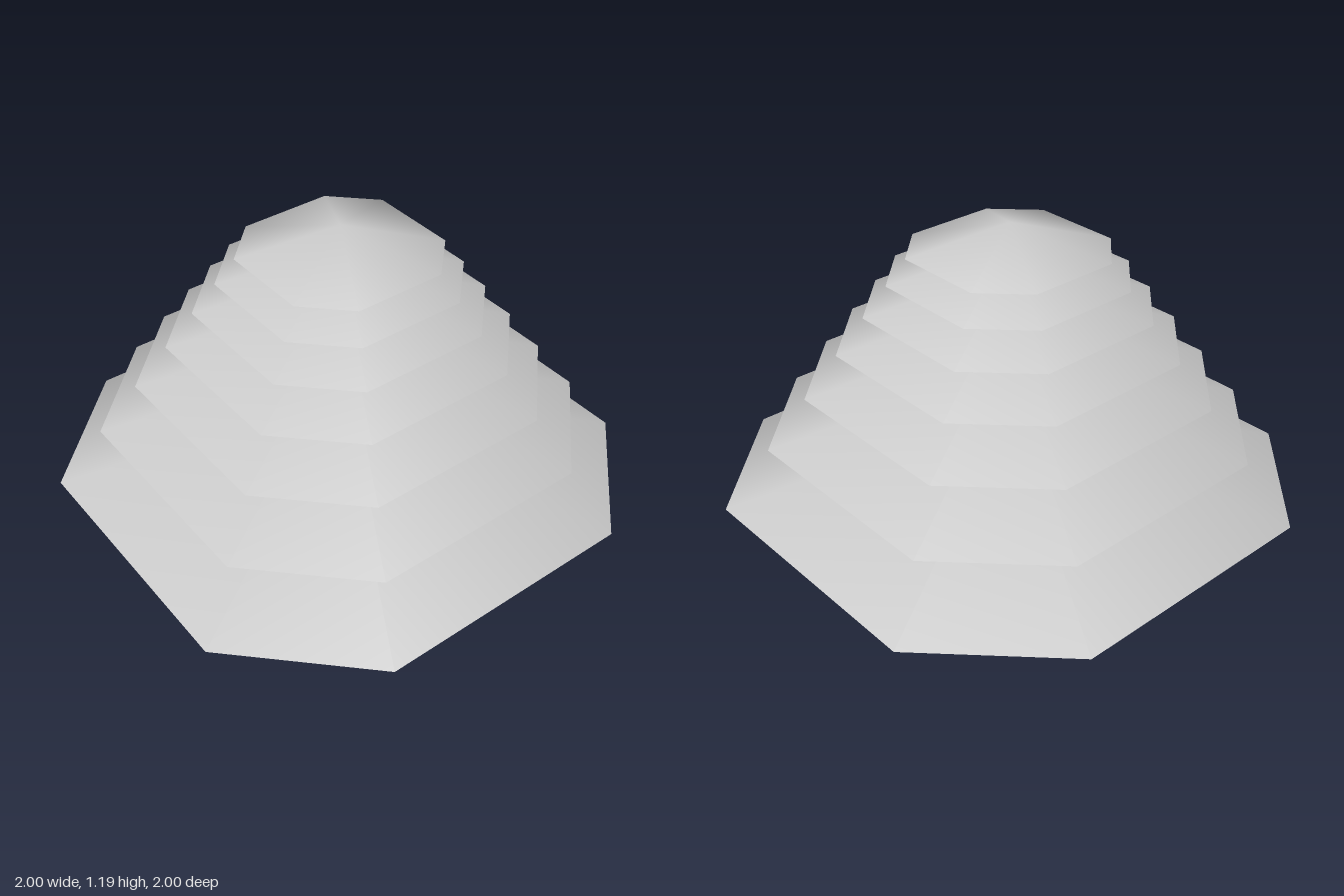
import * as THREE from 'three';

const TIERS = 7;
const RATIO = 0.837;    // each tier is this much smaller than the one below
const STEP = 0.26;      // rise from the first tier's base to the second's
const RIM_Y = 0.095;    // height of the widest edge
const APEX_Y = 0.404;   // height of the pointed top
const C = 0.535;        // half side of the square base and of the long rim edges

// One roof tier: square base, eight-sided rim, pointed top, shaded smooth
function tierGeometry() {
  const positions = [], index = [];
  const apex = 12;
  for (let k = 0; k < 4; k++) {
    // two rim corners and one base corner, turned a quarter for each side
    for (let [x, y, z] of [[1, RIM_Y, C], [1, RIM_Y, -C], [C, 0, -C]]) {
      for (let i = 0; i < k; i++) [x, z] = [z, -x];
      positions.push(x, y, z);
    }
    const a = 3 * k, b = a + 1, c = a + 2;
    const nextA = (a + 3) % 12, prevC = (a + 11) % 12;
    index.push(a, b, apex, b, nextA, apex);   // upper slopes
    index.push(b, a, prevC, b, prevC, c);     // underside of the long edge
    index.push(nextA, b, c);                  // underside of the corner
  }
  positions.push(0, APEX_Y, 0);
  index.push(11, 8, 5, 11, 5, 2);             // flat base

  const geometry = new THREE.BufferGeometry();
  geometry.setAttribute('position', new THREE.Float32BufferAttribute(positions, 3));
  geometry.setIndex(index);
  geometry.computeVertexNormals();
  return geometry;
}

export function createModel() {
  const group = new THREE.Group();
  group.name = 'tieredRoof';
  const material = new THREE.MeshStandardMaterial({ color: 0xcccccc });
  const geometry = tierGeometry();

  // Stack of shrinking tiers, each sunk onto the one below
  let y = 0, scale = 1;
  for (let i = 0; i < TIERS; i++) {
    const tier = new THREE.Mesh(geometry, material);
    tier.name = `tier${i + 1}`;
    tier.position.y = y;
    tier.scale.setScalar(scale);
    group.add(tier);
    y += STEP * scale;
    scale *= RATIO;
  }
  return group;
}
